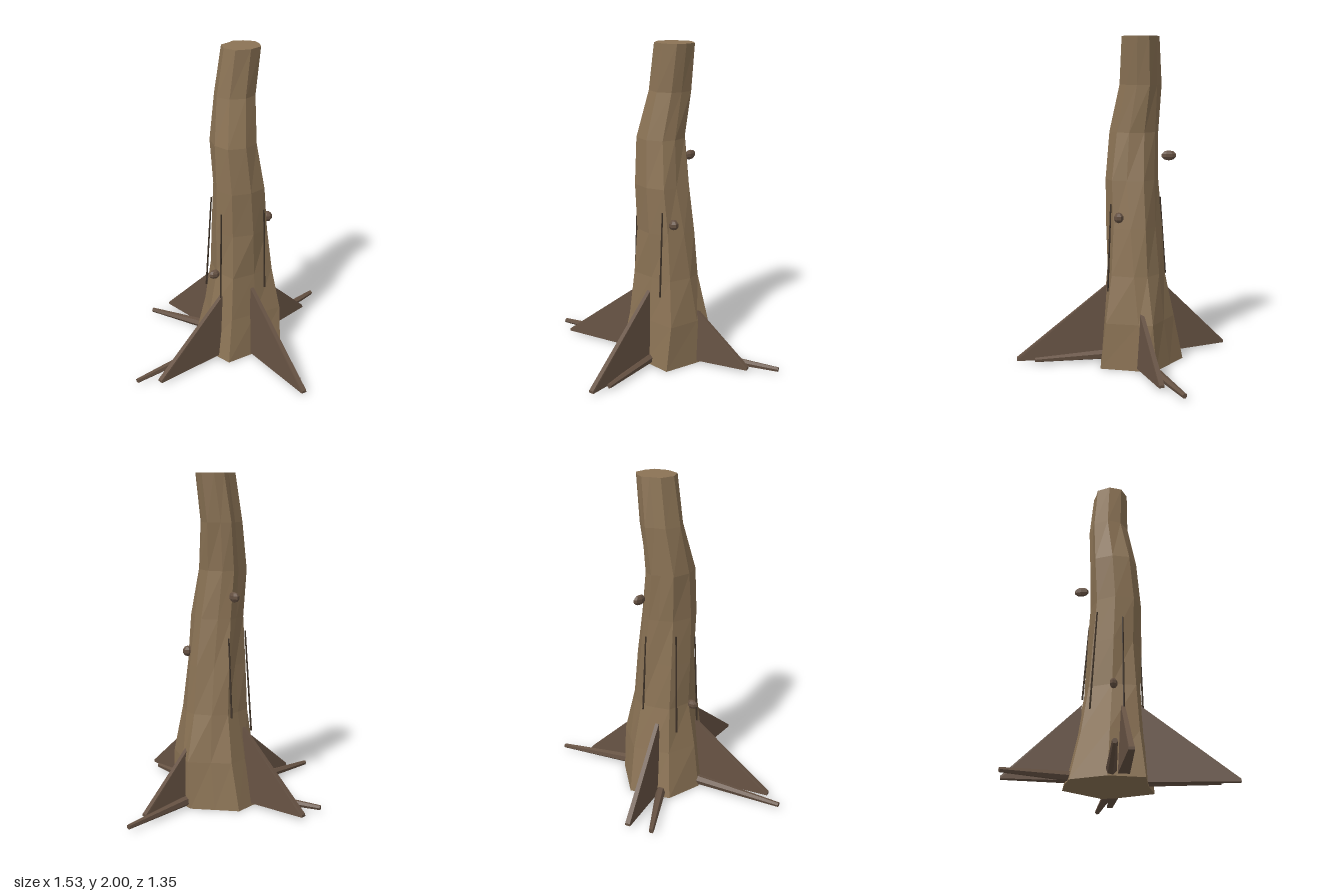
import * as THREE from 'three';
import { ConvexGeometry } from 'three/addons/geometries/ConvexGeometry.js';

const mat = (color) => new THREE.MeshStandardMaterial({ color, flatShading: true, roughness: 0.9 });
const bark = mat(0x8b7355), rootBark = mat(0x665243), vineBark = mat(0x3f3328);
const V = (x, y, z) => new THREE.Vector3(x, y, z);

// Trunk levels: y, min x, max x, min z, max z
const LEVELS = [
  [0, -0.23, 0.30, -0.37, 0.155],
  [0.286, -0.185, 0.295, -0.31, 0.13],
  [0.571, -0.145, 0.245, -0.255, 0.107],
  [0.857, -0.14, 0.212, -0.23, 0.105],
  [1.143, -0.14, 0.172, -0.215, 0.115],
  [1.43, -0.145, 0.135, -0.215, 0.085],
  [1.714, -0.10, 0.15, -0.225, 0.022],
  [2, -0.055, 0.185, -0.21, 0.015],
];
// Outlines of the foot and the cut top, scaled to -1..1, left > front > right > back
const FOOT = [[-1, 0.22], [-0.73, 1], [0, 0.95], [0.73, 1], [1, 0.03],
  [0.98, -0.28], [0.55, -0.64], [0.12, -1], [-0.4, -0.83], [-0.81, -0.64]];
const TOP = [[-1, 0.15], [-0.7, 0.8], [0.05, 1], [0.74, 0.75], [0.95, 0.25],
  [1, -0.36], [0.55, -0.8], [0.1, -1], [-0.26, -0.8], [-0.78, -0.6]];

function trunkGeometry() {
  const n = FOOT.length, pos = [], idx = [];
  LEVELS.forEach(([y, x0, x1, z0, z1], i) => {
    const t = Math.min(1, i / 4);
    FOOT.forEach(([u, v], j) => {
      const a = u + (TOP[j][0] - u) * t, b = v + (TOP[j][1] - v) * t;
      // slight unevenness of the bark between foot and top
      const k = i % 7 ? 1 + 0.035 * Math.sin(i * 2.3 + j * 3.7) : 1;
      pos.push((x0 + x1) / 2 + a * k * (x1 - x0) / 2, y, (z0 + z1) / 2 + b * k * (z1 - z0) / 2);
    });
  });
  for (let i = 0; i < LEVELS.length - 1; i++) {
    for (let j = 0; j < n; j++) {
      const a = i * n + j, b = i * n + (j + 1) % n;
      idx.push(a, b, b + n, a, b + n, a + n);
    }
  }
  // end caps
  const last = (LEVELS.length - 1) * n;
  for (let j = 1; j < n - 1; j++) idx.push(0, j + 1, j, last, last + j, last + j + 1);
  const g = new THREE.BufferGeometry();
  g.setAttribute('position', new THREE.Float32BufferAttribute(pos, 3));
  g.setIndex(idx);
  g.computeVertexNormals();
  return g;
}

// Upright triangular fin from the trunk (a, apex height h) out to its tip b
function finGeometry([ax, az], [bx, bz], h) {
  const d = V(bx - ax, 0, bz - az).normalize(), side = V(-d.z, 0, d.x);
  const pts = [];
  for (const s of [-1, 1]) {
    pts.push(V(ax, 0.015, az).addScaledVector(side, s * 0.036));
    pts.push(V(ax, h, az).addScaledVector(side, s * 0.012));
    pts.push(V(bx, 0.015, bz).addScaledVector(side, s * 0.017));
    pts.push(V(bx, 0.03, bz).addScaledVector(side, s * 0.015));
  }
  return new ConvexGeometry(pts);
}

// Tapered rod between two points
function rod(a, b, ra, rb, sides, material) {
  const mesh = new THREE.Mesh(new THREE.CylinderGeometry(rb, ra, a.distanceTo(b), sides), material);
  mesh.position.copy(a).add(b).multiplyScalar(0.5);
  mesh.quaternion.setFromUnitVectors(V(0, 1, 0), b.clone().sub(a).normalize());
  return mesh;
}

export function createModel() {
  const model = new THREE.Group();
  const add = (mesh, name) => { mesh.name = name; model.add(mesh); };

  add(new THREE.Mesh(trunkGeometry(), bark), 'trunk');

  // Buttress fins: inner point, tip, apex height
  [
    [[0.22, -0.08], [0.605, -0.18], 0.40],
    [[-0.13, 0.02], [-0.64, 0.145], 0.44],
    [[0.035, 0.08], [0.085, 0.67], 0.50],
    [[-0.05, -0.24], [-0.19, -0.67], 0.475],
  ].forEach(([a, b, h], i) => add(new THREE.Mesh(finGeometry(a, b, h), rootBark), `buttress${i + 1}`));

  // Low roots running along the ground: inner point, tip
  [
    [[0.2, -0.1], [0.76, -0.29]],
    [[-0.12, -0.05], [-0.765, 0.08]],
    [[0.06, 0.06], [0.12, 0.555]],
    [[-0.06, -0.2], [-0.345, -0.63]],
  ].forEach(([a, b], i) =>
    add(rod(V(a[0], 0.037, a[1]), V(b[0], 0.026, b[1]), 0.034, 0.015, 6, rootBark), `root${i + 1}`));

  // Knots: position, half sizes
  [
    [[-0.16, 0.565, -0.03], [0.038, 0.03, 0.024]],
    [[0.182, 0.925, 0.04], [0.032, 0.033, 0.03]],
    [[0.047, 1.285, -0.275], [0.022, 0.031, 0.048]],
  ].forEach(([p, s], i) => {
    const knot = new THREE.Mesh(new THREE.SphereGeometry(1, 7, 5), rootBark);
    knot.position.set(...p);
    knot.scale.set(...s);
    add(knot, `knot${i + 1}`);
  });

  // Thin hanging vines: upper and lower ends
  [
    [[-0.135, 1.0, 0.02], [-0.15, 0.4, 0.03]],
    [[0.13, 1.0, 0.085], [0.13, 0.46, 0.105]],
    [[0.05, 1.03, -0.222], [0.05, 0.55, -0.257]],
    [[-0.12, 1.05, -0.14], [-0.15, 0.42, -0.17]],
  ].forEach(([a, b], i) => add(rod(V(...a), V(...b), 0.005, 0.006, 5, vineBark), `vine${i + 1}`));

  return model;
}
